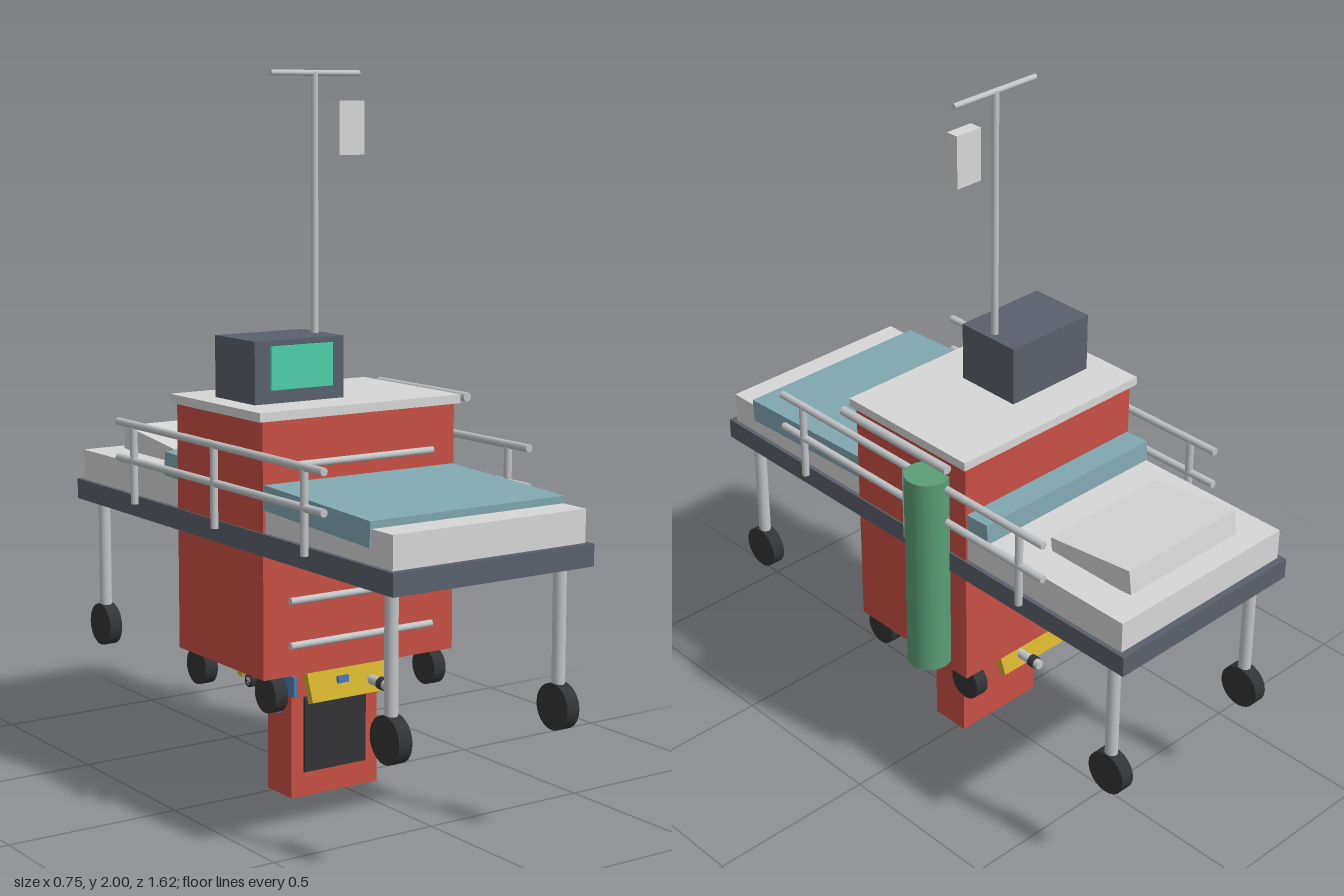
import * as THREE from 'three';

const mat = (name, color) => Object.assign(new THREE.MeshStandardMaterial({ color }), { name });

export function createModel() {
  const root = new THREE.Group();
  root.name = 'hospitalBedAndCart';
  const red = mat('cabinet red', 0xc95044);
  const white = mat('linen white', 0xd6d7d6);
  const metal = mat('rail metal', 0xc2c5c7);
  const slate = mat('slate grey', 0x5a616c);
  const teal = mat('blanket teal', 0x82a9b2);
  const green = mat('bottle green', 0x5b9e76);
  const screen = mat('screen green', 0x4fd0ab);
  const yellow = mat('plate yellow', 0xd0ae2c);
  const blue = mat('block blue', 0x5079b0);
  const black = mat('rubber black', 0x333436);

  const add = (name, geo, m, x = 0, y = 0, z = 0) => {
    const mesh = new THREE.Mesh(geo, m);
    mesh.name = name;
    mesh.position.set(x, y, z);
    root.add(mesh);
    return mesh;
  };
  // box given by its limits on each axis
  const box = (name, m, x0, x1, y0, y1, z0, z1) =>
    add(name, new THREE.BoxGeometry(x1 - x0, y1 - y0, z1 - z0), m, (x0 + x1) / 2, (y0 + y1) / 2, (z0 + z1) / 2);
  // round bar between two points
  const rod = (name, m, r, a, b, sides = 16) => {
    const p = new THREE.Vector3(...a), q = new THREE.Vector3(...b);
    const mesh = add(name, new THREE.CylinderGeometry(r, r, p.distanceTo(q), sides), m);
    mesh.position.copy(p).add(q).multiplyScalar(0.5);
    mesh.quaternion.setFromUnitVectors(new THREE.Vector3(0, 1, 0), q.sub(p).normalize());
    return mesh;
  };
  const wheel = (name, x, y, z, r, w) => {
    rod(name, black, r, [x - w / 2, y, z], [x + w / 2, y, z], 24);
  };
  const cx = -0.035;

  // bed
  box('bedFrame', slate, -0.355, 0.285, 0.73, 0.79, -0.81, 0.81);
  box('mattress', white, -0.342, 0.272, 0.79, 0.88, -0.79, 0.79);
  const blanket = box('blanket', teal, -0.346, 0.276, 0.852, 0.92, -0.5, 0.5);
  blanket.position.z = 0.2;
  blanket.rotation.x = 0.04;
  const pillow = box('pillow', white, -0.24, 0.17, 0.87, 0.94, -0.72, -0.435);
  pillow.position.y = 0.902;
  pillow.rotation.x = 0.12;
  for (const s of [-1, 1]) {
    for (const z of [-0.735, 0.735]) {
      rod('bedLeg', metal, 0.018, [cx + s * 0.27, 0.35, z], [cx + s * 0.27, 0.73, z]);
      wheel('bedWheel', cx + s * 0.27, 0.35, z, 0.063, 0.04);
    }
    // side rails
    const x = cx + s * 0.331;
    for (const y of [0.895, 1.0]) rod('sideRail', metal, 0.011, [x, y, -0.53], [x, y, 0.53]);
    for (const z of [-0.44, 0, 0.44]) rod('railPost', metal, 0.011, [x, 0.77, z], [x, 1.0, z]);
    // cabinet casters
    for (const z of [-0.18, 0.18]) wheel('cabinetCaster', cx + s * 0.265, 0.34, z, 0.052, 0.04);
  }

  // drawer cabinet
  box('cabinet', red, -0.35, 0.28, 0.39, 1.09, -0.22, 0.22);
  box('cabinetTop', white, -0.366, 0.294, 1.088, 1.113, -0.232, 0.232);
  for (let i = 0; i < 5; i++) {
    const y = 0.475 + i * 0.1225;
    rod('drawerHandle', metal, 0.01, [-0.27, y, 0.228], [0.2, y, 0.228]);
  }
  rod('pushHandle', metal, 0.013, [0.335, 1.1, -0.21], [0.335, 1.1, 0.21]);
  add('gasBottle', new THREE.CylinderGeometry(0.063, 0.063, 0.61, 28), green, 0.312, 0.725, -0.103);

  // monitor
  box('monitor', slate, -0.297, -0.01, 1.113, 1.284, -0.102, 0.1);
  box('monitorScreen', screen, -0.25, -0.05, 1.15, 1.268, 0.1, 0.109);

  // drip stand
  rod('dripPole', metal, 0.01, [-0.037, 1.11, 0], [-0.037, 1.995, 0]);
  rod('dripCrossbar', metal, 0.008, [-0.18, 1.992, 0], [0.11, 1.992, 0]);
  box('dripBag', white, 0.032, 0.116, 1.77, 1.918, -0.019, 0.019);

  // pedestal below the cabinet
  box('pedestal', red, -0.18, 0.11, 0, 0.4, -0.025, 0.095);
  box('pedestalPanel', black, -0.14, 0.067, 0.07, 0.285, 0.094, 0.102);
  box('underBlock', blue, -0.12, 0.05, 0.29, 0.352, -0.145, 0.13);
  for (const s of [-1, 1]) {
    // tilted yellow plates at the front and back
    const plate = box('yellowPlate', yellow, -0.175, 0.105, 0.288, 0.395, -0.012, 0.012);
    plate.position.z = s * 0.165;
    plate.rotation.x = -s * 0.35;
    // side brackets and hangers
    const x = cx + s * 0.148;
    box('sideBracket', blue, x - 0.006, x + 0.006, 0.235, 0.33, 0, 0.045);
    box('sideStrip', blue, x - 0.005, x + 0.005, 0.295, 0.352, -0.13, 0.12);
    rod('hanger', metal, 0.012, [cx + s * 0.178, 0.285, 0], [cx + s * 0.178, 0.39, 0]);
    rod('axleTip', black, 0.018, [cx + s * 0.2, 0.328, 0], [cx + s * 0.225, 0.328, 0]);
    rod('crossTip', black, 0.018, [0.03, 0.328, s * 0.225], [0.03, 0.328, s * 0.245]);
  }
  box('plateMark', blue, -0.085, -0.05, 0.335, 0.355, 0.178, 0.186);
  rod('underAxle', metal, 0.012, [-0.26, 0.328, 0], [0.22, 0.328, 0]);
  rod('underCrossRod', metal, 0.014, [0.03, 0.328, -0.26], [0.03, 0.328, 0.265]);
  return root;
}
